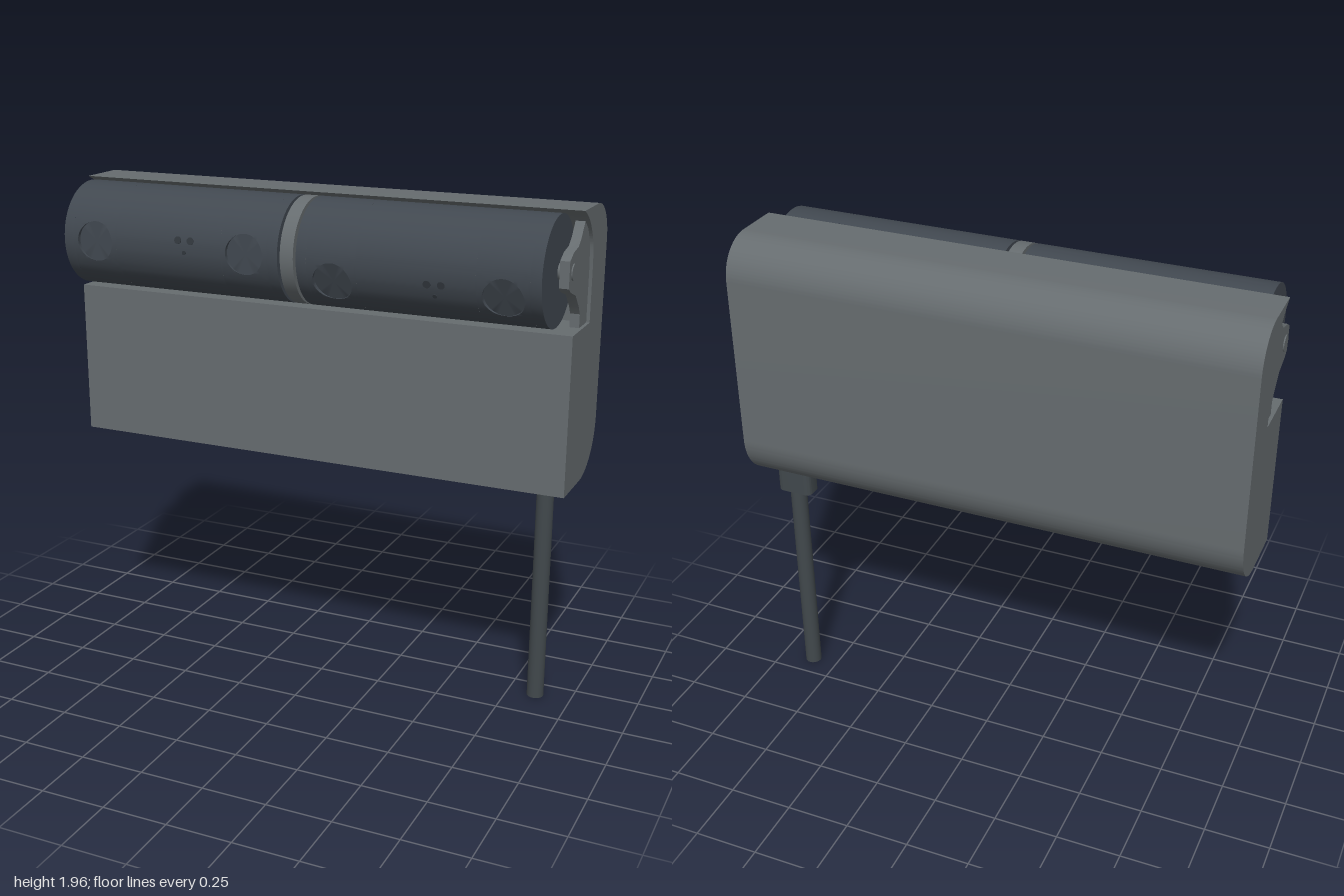
import * as THREE from 'three';
import { mergeGeometries, toCreasedNormals } from 'three/addons/utils/BufferGeometryUtils.js';

const R = 0.198, CY = 1.757, CZ = 0.102;      // drum radius and axis
const LENS_R = 0.075, PATCH = 0.095, FLOOR = 0.182;

const material = (name, color) => {
  const m = new THREE.MeshStandardMaterial({ color });
  m.name = name;
  return m;
};

// Extrude a (z, y) outline along x, centred on the given x
function extrudeX(shape, width, x = 0) {
  const g = new THREE.ExtrudeGeometry(shape, { depth: width, bevelEnabled: false, curveSegments: 20 });
  g.rotateY(-Math.PI / 2).translate(x + width / 2, 0, 0);
  return toCreasedNormals(g, 0.5);
}

const v2 = pts => pts.map(p => new THREE.Vector2(...p));

// Housing outline with rounded back corners and a hollow for the drums
function housingShape() {
  const s = new THREE.Shape();
  s.moveTo(0.1, 1.535);
  s.lineTo(-0.12, 1.535);
  s.lineTo(-0.12, 1.75);
  s.splineThru(v2([[-0.107, 1.825], [-0.075, 1.88], [-0.03, 1.925], [0.028, 1.957]]));
  s.lineTo(-0.15, 1.957);
  s.absarc(-0.15, 1.807, 0.15, Math.PI / 2, Math.PI, false);
  s.lineTo(-0.3, 1.14);
  s.absarc(-0.1, 1.14, 0.2, Math.PI, Math.PI * 1.5, false);
  s.lineTo(0.1, 0.94);
  s.closePath();
  return s;
}

// End bracket that holds a drum at its axis
const bracketShape = () => new THREE.Shape(v2([
  [-0.12, 1.535], [-0.025, 1.535], [-0.025, 1.585], [-0.005, 1.615], [0.047, 1.667], [0.115, 1.69],
  [0.14, 1.707], [0.14, 1.802], [0.1, 1.825], [0.04, 1.836], [0.01, 1.86], [-0.03, 1.912],
  [-0.075, 1.88], [-0.107, 1.825], [-0.12, 1.75],
]));

// Square piece of drum skin with a round, flat-floored pocket
function pocketPatch(cx) {
  const N = 48, rings = 5, pos = [], idx = [];
  for (let j = 0; j <= rings; j++) {
    for (let k = 0; k <= N; k++) {
      const t = k / N * Math.PI * 2, c = Math.cos(t), s = Math.sin(t);
      const square = PATCH / Math.max(Math.abs(c), Math.abs(s));
      const r = j < 2 ? LENS_R : LENS_R + (square - LENS_R) * (j - 1) / (rings - 1);
      const y = r * s;
      pos.push(cx + r * c, y, j === 0 ? FLOOR : Math.sqrt(R * R - y * y));
      if (j < rings && k < N) {
        const a = j * (N + 1) + k, b = a + N + 1;
        idx.push(a, b, b + 1, a, b + 1, a + 1);
      }
    }
  }
  const g = new THREE.BufferGeometry();
  g.setAttribute('position', new THREE.Float32BufferAttribute(pos, 3));
  g.setIndex(idx);
  return g;
}

// Drum along x: full tubes between the pockets, open tubes behind them
function drumGeometry(length, lenses) {
  const half = length / 2, gap = Math.asin(PATCH / R), parts = [];
  const tube = (x0, x1, start, sweep) => parts.push(
    new THREE.CylinderGeometry(R, R, x1 - x0, 72, 1, true, start, sweep)
      .rotateZ(Math.PI / 2).translate((x0 + x1) / 2, 0, 0));
  let x = -half;
  for (const cx of lenses) {
    tube(x, cx - PATCH, 0, Math.PI * 2);
    tube(cx - PATCH, cx + PATCH, gap, Math.PI * 2 - gap * 2);
    parts.push(pocketPatch(cx), new THREE.CircleGeometry(LENS_R, 48).translate(cx, 0, FLOOR));
    x = cx + PATCH;
  }
  tube(x, half, 0, Math.PI * 2);
  for (const s of [-1, 1])
    parts.push(new THREE.CircleGeometry(R, 72).rotateY(s * Math.PI / 2).translate(s * half, 0, 0));
  const plain = parts.map(p => {
    const g = p.toNonIndexed();
    g.deleteAttribute('uv');
    g.deleteAttribute('normal');
    g.computeVertexNormals();
    return g;
  });
  return toCreasedNormals(mergeGeometries(plain), 0.35);
}

export function createModel() {
  const model = new THREE.Group();
  const grey = material('housing grey', 0x666c6f);
  const charcoal = material('drum charcoal', 0x414850);
  const dark = material('sensor dark', 0x32383e);
  const cableMat = material('cable charcoal', 0x41484c);

  const add = (name, geometry, mat, parent = model) => {
    const m = new THREE.Mesh(geometry, mat);
    m.name = name;
    parent.add(m);
    return m;
  };

  add('housing', extrudeX(housingShape(), 2), grey);

  // Two drums, the left one tilted downwards
  const drumGeo = drumGeometry(0.902, [-0.316, 0.316]);
  for (const [name, x, tilt] of [['rightDrum', -0.488, 0], ['leftDrum', 0.488, 0.39]]) {
    const drum = new THREE.Group();
    drum.name = name;
    drum.position.set(x, CY, CZ);
    drum.rotation.x = tilt;
    add('drumShell', drumGeo, charcoal, drum);
    // Three small sensor dots
    for (const [dx, dy, r] of [[-0.026, 0.033, 0.014], [0.026, 0.033, 0.014], [0, -0.012, 0.008]]) {
      const dot = new THREE.CylinderGeometry(r, r, 0.004, 20).rotateX(Math.PI / 2)
        .translate(0, 0, R).rotateX(-Math.asin(dy / R)).translate(0.07 + dx, 0, 0);
      add('sensorDot', dot, dark, drum);
    }
    model.add(drum);
  }

  // End brackets with pivot pins
  for (const s of [-1, 1]) {
    add('endBracket', extrudeX(bracketShape(), 0.035, s * 0.97), grey);
    const pin = new THREE.CylinderGeometry(0.03, 0.03, 0.06, 24).rotateZ(Math.PI / 2);
    add('pivotPin', pin, grey).position.set(s * 0.962, CY, 0.09);
  }

  // Centre disc between the drums, its mount and axle
  add('centreDisc', new THREE.CylinderGeometry(R, R, 0.052, 72).rotateZ(Math.PI / 2), grey)
    .position.set(0, CY, CZ);
  add('centreMount', new THREE.BoxGeometry(0.052, 0.3, 0.13), grey).position.set(0, 1.68, -0.06);
  add('centreAxle', new THREE.CylinderGeometry(0.03, 0.03, 0.08, 24).rotateZ(Math.PI / 2), grey)
    .position.set(0, CY, 0.06);

  // Cable and its rounded gland under the housing
  const gland = new THREE.Shape(), w = 0.073, d = 0.04, r = 0.025;
  [[w - r, d - r, 0], [r - w, d - r, 1], [r - w, r - d, 2], [w - r, r - d, 3]].forEach(([x, y, q]) =>
    gland.absarc(x, y, r, q * Math.PI / 2, (q + 1) * Math.PI / 2, false));
  const glandGeo = new THREE.ExtrudeGeometry(gland, { depth: 0.13, bevelEnabled: false, curveSegments: 8 });
  add('cableGland', toCreasedNormals(glandGeo.rotateX(-Math.PI / 2), 0.5), cableMat)
    .position.set(0.858, 0.872, -0.159);
  add('cable', new THREE.CylinderGeometry(0.033, 0.033, 0.9, 32), cableMat)
    .position.set(0.86, 0.45, -0.158);

  return model;
}
